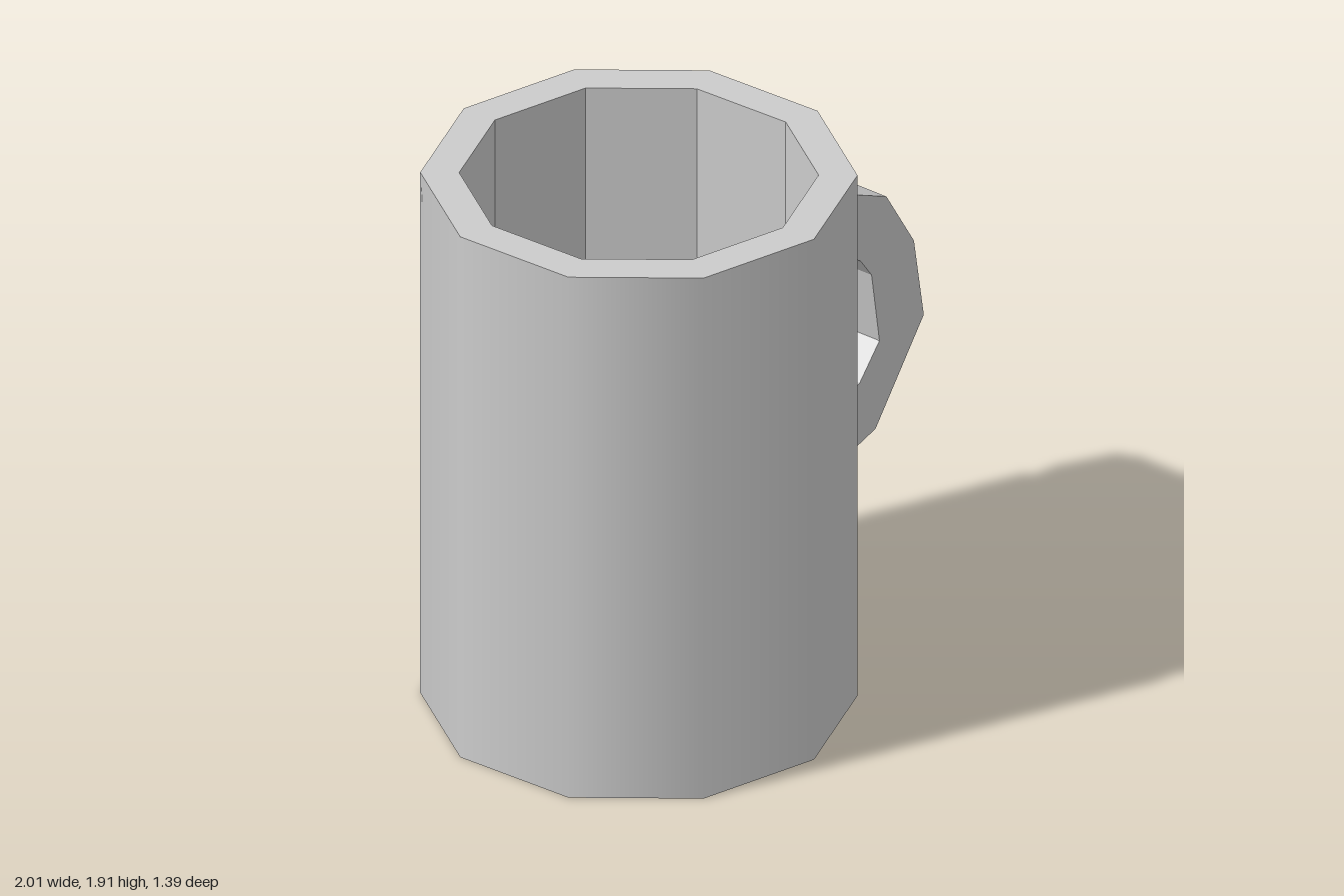
import * as THREE from 'three';

const HEIGHT = 1.915, OUTER = 0.697, INNER = 0.573, FLOOR = 0.12;
const SIDES = 10, TURN = THREE.MathUtils.degToRad(74.1);

const smooth = new THREE.MeshStandardMaterial({ color: 0xcccccc });
const flat = new THREE.MeshStandardMaterial({ color: 0xcccccc, flatShading: true });

// Ten-sided turned surface from a [radius, height] profile
function turned(name, profile, material) {
  const points = profile.map(([r, y]) => new THREE.Vector2(r, y));
  const mesh = new THREE.Mesh(new THREE.LatheGeometry(points, SIDES, TURN), material);
  mesh.name = name;
  return mesh;
}

// Four-cornered sections swept from the upper root to the lower root
function handleGeometry() {
  // outer x, outer y, inner x, inner y
  const sections = [
    [0.33, 1.48, 0.33, 1.235],
    [0.595, 1.455, 0.59, 1.235],
    [0.81, 1.35, 0.68, 1.17],
    [0.95, 1.125, 0.735, 1.095],
    [1.0, 0.83, 0.775, 0.835],
    [0.755, 0.52, 0.675, 0.725],
    [0.545, 0.47, 0.545, 0.685],
    [0.33, 0.455, 0.33, 0.705],
  ];
  const last = sections.length - 1;
  const positions = [], index = [];
  sections.forEach(([ox, oy, ix, iy], i) => {
    // the roots flare to the full width of one cup side
    const root = i === 0 || i === last;
    const front = root ? 0.19 : 0.09, back = root ? -0.24 : -0.16;
    const df = root ? 0.005 : 0, db = root ? -0.01 : 0;
    positions.push(ox + df, oy, front, ox + db, oy, back, ix + db, iy, back, ix + df, iy, front);
    if (i === last) return;
    for (let k = 0; k < 4; k++) {
      const a = i * 4 + k, b = i * 4 + (k + 1) % 4;
      index.push(a, a + 4, b + 4, a, b + 4, b);
    }
  });
  const geometry = new THREE.BufferGeometry();
  geometry.setAttribute('position', new THREE.Float32BufferAttribute(positions, 3));
  geometry.setIndex(index);
  const faceted = geometry.toNonIndexed();
  faceted.computeVertexNormals();
  return faceted;
}

export function createModel() {
  const model = new THREE.Group();
  model.name = 'mug';

  // Cup: smooth outside, faceted rim and inside, flat base
  const cup = new THREE.Group();
  cup.name = 'cup';
  cup.position.x = -0.335;
  cup.add(
    turned('outerWall', [[OUTER, 0], [OUTER, HEIGHT]], smooth),
    turned('rim', [[OUTER, HEIGHT], [INNER, HEIGHT]], flat),
    turned('innerWall', [[INNER, HEIGHT], [INNER, FLOOR]], flat),
    turned('innerFloor', [[INNER, FLOOR], [0, FLOOR]], flat),
    turned('base', [[0, 0], [OUTER, 0]], flat),
  );
  model.add(cup);

  // Handle
  const handle = new THREE.Mesh(handleGeometry(), flat);
  handle.name = 'handle';
  model.add(handle);

  return model;
}
